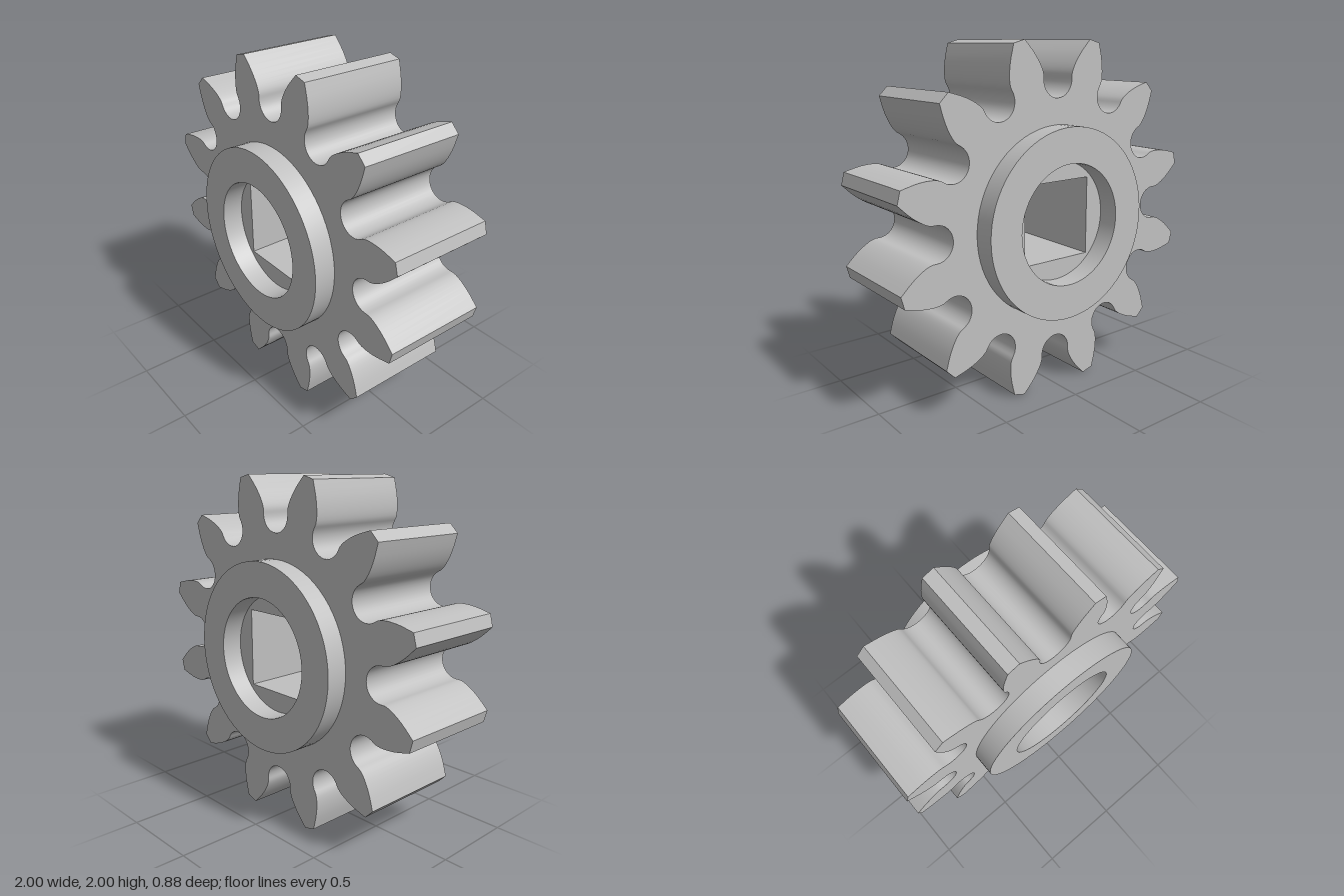
import * as THREE from 'three';
import { toCreasedNormals } from 'three/addons/utils/BufferGeometryUtils.js';

const TEETH = 12, HALF_WIDTH = 0.315, HUB_FACE = 0.44;
const HUB_R = 0.545, RECESS_R = 0.345, BORE = 0.228;

// Half of one valley between teeth, from its middle out to a tooth tip
function halfValley() {
  const pts = [];
  for (let i = 0; i <= 8; i++) {
    const a = (i / 8) * Math.PI / 2;
    pts.push(new THREE.Vector2(0.1 * Math.sin(a), 0.79 - 0.1 * Math.cos(a)));
  }
  const flank = new THREE.SplineCurve([
    [0.1, 0.79], [0.102, 0.825], [0.125, 0.875], [0.168, 0.935], [0.23, 1.0],
  ].map(([x, y]) => new THREE.Vector2(x, y)));
  return pts.concat(flank.getPoints(10).slice(1));
}

// Full toothed outline: each mirrored valley repeated around the axis
function gearShape() {
  const half = halfValley();
  const mirrored = half.slice(1).reverse().map(p => new THREE.Vector2(-p.x, p.y));
  const valley = mirrored.concat(half);
  const origin = new THREE.Vector2();
  const outline = [];
  for (let i = 0; i < TEETH; i++) {
    for (const p of valley) outline.push(p.clone().rotateAround(origin, -i * 2 * Math.PI / TEETH));
  }
  const shape = new THREE.Shape(outline.reverse());
  // Square bore through the middle
  shape.holes.push(new THREE.Path([[-1, -1], [-1, 1], [1, 1], [1, -1]]
    .map(([x, y]) => new THREE.Vector2(x * BORE, y * BORE))));
  return shape;
}

export function createModel() {
  const model = new THREE.Group();
  model.name = 'spurGear';
  const metal = new THREE.MeshStandardMaterial({ color: 0xc0c0c0 });
  metal.name = 'grey metal';

  const add = (name, geometry) => {
    const mesh = new THREE.Mesh(toCreasedNormals(geometry, 0.6), metal);
    mesh.name = name;
    mesh.position.y = 1;
    model.add(mesh);
    return mesh;
  };

  // Toothed body
  const body = new THREE.ExtrudeGeometry(gearShape(), { depth: 2 * HALF_WIDTH, bevelEnabled: false });
  body.translate(0, 0, -HALF_WIDTH);
  add('toothedBody', body);

  // Raised hub ring on each face, open where it meets the body
  const profile = [[HUB_R, HALF_WIDTH], [HUB_R, HUB_FACE], [RECESS_R, HUB_FACE], [RECESS_R, HALF_WIDTH]]
    .map(([r, h]) => new THREE.Vector2(r, h));
  for (const [name, turn] of [['frontHubRing', 0], ['backHubRing', Math.PI]]) {
    const ring = new THREE.LatheGeometry(profile, 72);
    ring.rotateX(Math.PI / 2);
    add(name, ring).rotation.y = turn;
  }
  return model;
}
